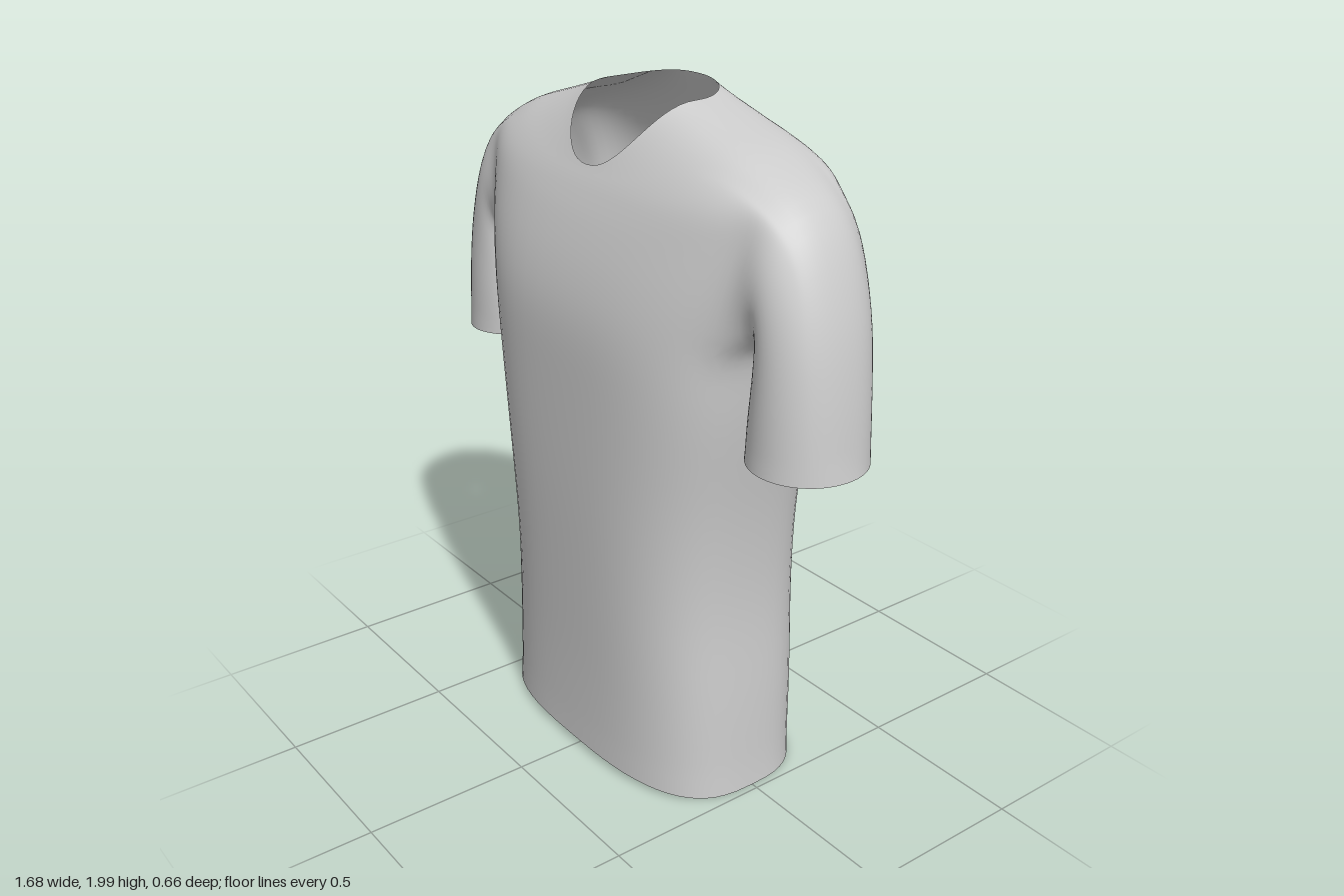
import * as THREE from 'three';

const COLS = 64, SUB = 5;            // columns round the body, rows per section
const HOLE = [5, 9], HOLE_HALF = 5;  // armhole: section range, half width in columns

// Body sections: y side, y front, y back, half width, z front, z back, centre x, roundness, spine dip
const SECTIONS = [
  [0.01, 0.03, 0.01, 0.500, 0.300, -0.285, -0.02, 0.70, 0.02],
  [0.30, 0.30, 0.30, 0.485, 0.303, -0.298, -0.015, 0.70, 0.02],
  [0.60, 0.60, 0.60, 0.465, 0.315, -0.302, -0.012, 0.70, 0.025],
  [0.90, 0.90, 0.90, 0.480, 0.328, -0.300, -0.01, 0.70, 0.03],
  [1.20, 1.20, 1.20, 0.515, 0.335, -0.315, 0, 0.68, 0.04],
  [1.40, 1.40, 1.40, 0.535, 0.335, -0.336, 0, 0.68, 0.045],
  [1.55, 1.54, 1.56, 0.570, 0.312, -0.336, 0, 0.68, 0.045],
  [1.70, 1.66, 1.72, 0.600, 0.275, -0.310, 0, 0.68, 0.03],
  [1.82, 1.73, 1.83, 0.600, 0.246, -0.255, 0, 0.68, 0.015],
  [1.885, 1.765, 1.895, 0.500, 0.229, -0.218, -0.005, 0.72, 0],
  [1.93, 1.785, 1.95, 0.350, 0.218, -0.187, -0.012, 0.80, 0],
  [1.975, 1.80, 1.998, 0.197, 0.210, -0.160, -0.02, 0.88, 0],
];

// Sleeve rings: inner x, y, outer x, y, centre z, half depth
const SLEEVE = [
  [0.575, 1.42, 0.665, 1.80, 0.000, 0.178],
  [0.555, 1.34, 0.775, 1.58, 0.015, 0.170],
  [0.540, 1.25, 0.820, 1.36, 0.028, 0.166],
  [0.535, 1.16, 0.840, 1.15, 0.035, 0.165],
];
const SLEEVE_STEPS = 20;

const signedPow = (v, e) => Math.sign(v) * Math.pow(Math.abs(v), e);

// Pull every vertex towards its neighbours, keeping the open edges in place
function relax(points, index, passes) {
  const near = points.map(() => new Map());
  for (let i = 0; i < index.length; i += 3) {
    for (let k = 0; k < 3; k++) {
      const a = index[i + k], b = index[i + (k + 1) % 3];
      near[a].set(b, (near[a].get(b) || 0) + 1);
      near[b].set(a, (near[b].get(a) || 0) + 1);
    }
  }
  const free = near.map(m => m.size > 0 && [...m.values()].every(n => n > 1));
  for (let p = 0; p < passes; p++) {
    const old = points.map(v => v.clone());
    points.forEach((v, i) => {
      if (!free[i]) return;
      const mean = new THREE.Vector3();
      for (const n of near[i].keys()) mean.add(old[n]);
      v.lerp(mean.divideScalar(near[i].size), 0.5);
    });
  }
}

export function createModel() {
  const points = [], index = [];
  const quad = (a, b, c, d) => index.push(a, b, c, a, c, d);

  // Body rings, from the hem up to the neckline
  const spline = new THREE.CubicInterpolant(
    SECTIONS.map((_, i) => i), SECTIONS.flat(), SECTIONS[0].length);
  const rows = (SECTIONS.length - 1) * SUB;
  for (let r = 0; r <= rows; r++) {
    const [yS, yF, yB, w, zF, zB, cx, e, dip] = spline.evaluate(r / SUB);
    for (let c = 0; c < COLS; c++) {
      const a = c / COLS * Math.PI * 2, s = Math.sin(a);
      const x = w * signedPow(Math.cos(a), e);
      let z = (s > 0 ? zF : -zB) * signedPow(s, e);
      if (s < 0) z += dip * Math.exp(-((x / 0.12) ** 2));
      points.push(new THREE.Vector3(cx + x, yS + ((s > 0 ? yF : yB) - yS) * s * s, z));
    }
  }

  // Body faces, leaving out the two armholes
  const at = (r, c) => r * COLS + (c + COLS) % COLS;
  const [r0, r1] = HOLE.map(v => v * SUB);
  const inHole = (r, c) => r >= r0 && r < r1 && [0, COLS / 2, COLS].some(
    m => c >= m - HOLE_HALF && c < m + HOLE_HALF);
  for (let r = 0; r < rows; r++) {
    for (let c = 0; c < COLS; c++) {
      if (!inHole(r, c)) quad(at(r, c), at(r + 1, c), at(r + 1, c + 1), at(r, c + 1));
    }
  }

  // Sleeves grow out of the armhole edges
  for (const side of [1, -1]) {
    const mid = side > 0 ? 0 : COLS / 2, lo = mid - HOLE_HALF, hi = mid + HOLE_HALF;
    const loop = [];
    for (let c = lo; c < hi; c++) loop.push(at(r0, c));
    for (let r = r0; r < r1; r++) loop.push(at(r, hi));
    for (let c = hi; c > lo; c--) loop.push(at(r1, c));
    for (let r = r1; r > r0; r--) loop.push(at(r, lo));

    const box = new THREE.Box3().setFromPoints(loop.map(i => points[i]));
    const centre = box.getCenter(new THREE.Vector3()), size = box.getSize(new THREE.Vector3());
    const paths = loop.map(i => {
      const p = points[i];
      const phi = Math.atan2((p.z - centre.z) / size.z, (p.y - centre.y) / size.y);
      const u = (1 + Math.cos(phi)) / 2;
      const rings = SLEEVE.map(([ix, iy, ox, oy, cz, hz], k) => {
        const droop = side < 0 ? k / 3 * 0.02 : 0;
        return new THREE.Vector3(side * (ix + (ox - ix) * u),
          iy + (oy - iy) * u - droop, cz - droop + hz * Math.sin(phi));
      });
      return new THREE.CatmullRomCurve3([p.clone(), ...rings]);
    });
    let previous = loop;
    for (let s = 1; s <= SLEEVE_STEPS; s++) {
      const ring = paths.map(path => points.push(path.getPoint(s / SLEEVE_STEPS)) - 1);
      ring.forEach((_, i) => {
        const j = (i + 1) % ring.length;
        quad(previous[i], ring[i], ring[j], previous[j]);
      });
      previous = ring;
    }
  }

  relax(points, index, 5);

  const geometry = new THREE.BufferGeometry().setFromPoints(points);
  geometry.setIndex(index);
  geometry.computeVertexNormals();
  const shirt = new THREE.Mesh(geometry,
    new THREE.MeshStandardMaterial({ color: 0xcccccc, side: THREE.DoubleSide }));
  shirt.name = 'shirt';

  const group = new THREE.Group();
  group.name = 'tShirt';
  group.add(shirt);
  return group;
}
